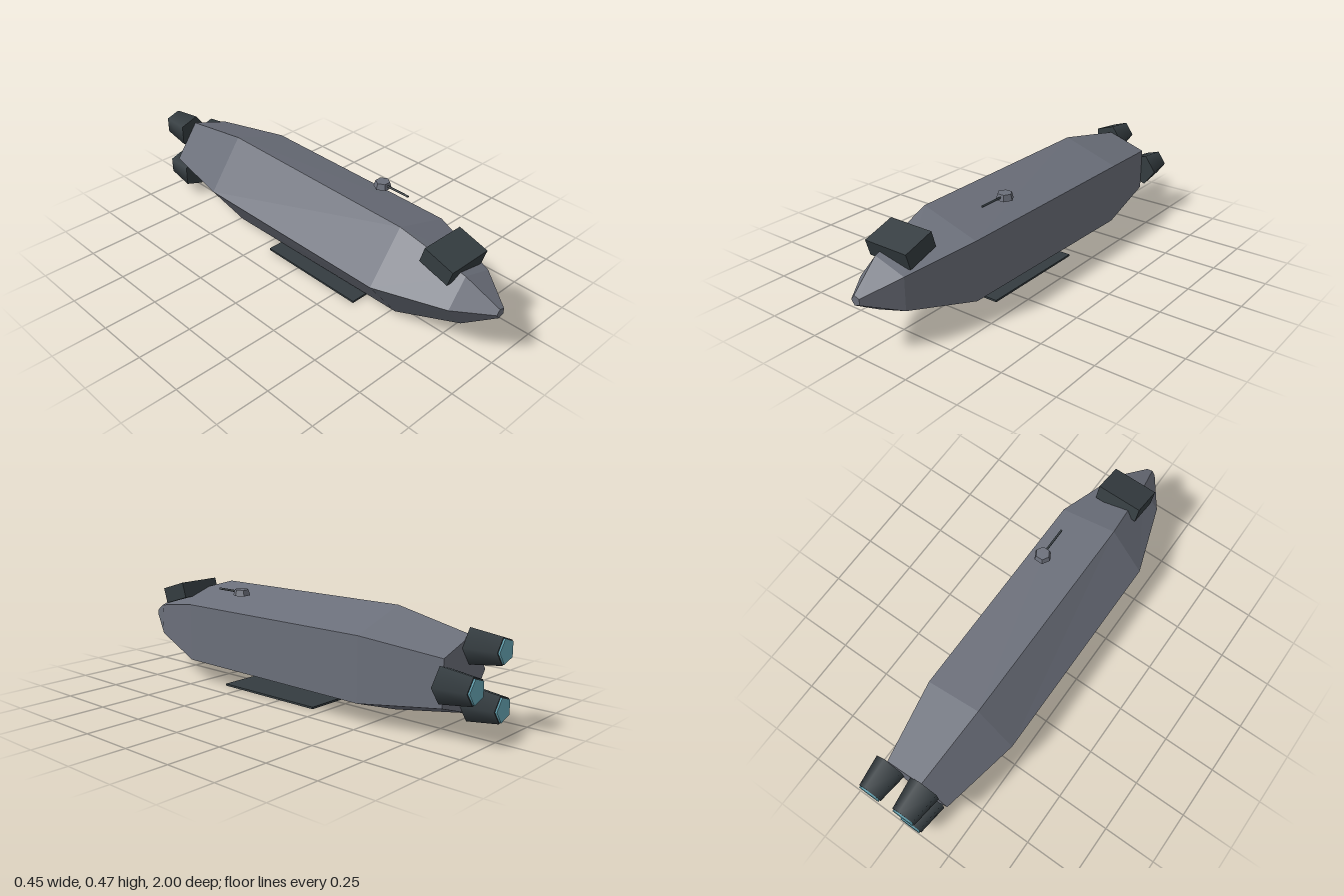
import * as THREE from 'three';

const CX = 0.013; // x of the hull axis

function material(name, color, flatShading = false) {
  const m = new THREE.MeshStandardMaterial({ color, flatShading });
  m.name = name;
  return m;
}

// Pentagonal loft through stations [z, centre y, radius, height factor], front to back
function loftHull(stations) {
  const sides = 5;
  const positions = [];
  const rings = stations.map(([z, cy, r, s]) =>
    Array.from({ length: sides }, (_, k) => {
      const a = Math.PI + (k * 2 * Math.PI) / sides;
      return [CX + r * Math.cos(a), cy + r * s * Math.sin(a), z];
    }));
  const tri = (a, b, c) => positions.push(...a, ...b, ...c);
  for (let i = 0; i < rings.length - 1; i++) {
    const f = rings[i], b = rings[i + 1];
    for (let k = 0; k < sides; k++) {
      const n = (k + 1) % sides;
      tri(f[k], b[k], b[n]);
      tri(f[k], b[n], f[n]);
    }
  }
  // End caps
  const first = rings[0], last = rings[rings.length - 1];
  for (let k = 1; k < sides - 1; k++) {
    tri(first[0], first[k], first[k + 1]);
    tri(last[0], last[k + 1], last[k]);
  }
  const g = new THREE.BufferGeometry();
  g.setAttribute('position', new THREE.Float32BufferAttribute(positions, 3));
  g.computeVertexNormals();
  return g;
}

export function createModel() {
  const model = new THREE.Group();
  model.name = 'spaceship';

  const hullGrey = material('hullGrey', 0x6b6f7a, true);
  const darkMetal = material('darkMetal', 0x343c40);
  const engineGlow = material('engineGlow', 0x68a8b8);

  function add(parent, name, geometry, mat, x = 0, y = 0, z = 0) {
    const mesh = new THREE.Mesh(geometry, mat);
    mesh.name = name;
    mesh.position.set(x, y, z);
    parent.add(mesh);
    return mesh;
  }

  // Faceted hull
  add(model, 'hull', loftHull([
    [1.0, 0.249, 0.024, 0.94],
    [0.85, 0.247, 0.133, 0.93],
    [0.535, 0.239, 0.24, 0.95],
    [-0.48, 0.237, 0.24, 1],
    [-0.85, 0.237, 0.168, 1],
  ]), hullGrey);

  // Tilted bridge block on the nose
  const bridge = add(model, 'bridge', new THREE.BoxGeometry(0.215, 0.075, 0.15), darkMetal, CX, 0.392, 0.753);
  bridge.rotation.x = 0.3;

  // Belly plate
  add(model, 'bellyPlate', new THREE.BoxGeometry(0.288, 0.009, 0.55), darkMetal, CX, 0.0045, 0.078);

  // Gun turret with a thin barrel
  const turret = new THREE.Group();
  turret.name = 'turret';
  turret.position.set(0.133, 0.456, 0.26);
  model.add(turret);
  add(turret, 'turretBase', new THREE.CylinderGeometry(0.032, 0.04, 0.027, 6, 1, false, Math.PI / 6), hullGrey);
  const barrel = new THREE.CylinderGeometry(0.005, 0.005, 0.15, 6).rotateX(Math.PI / 2);
  add(turret, 'turretBarrel', barrel, darkMetal, 0, 0, 0.071);

  // Three tapered engines around the hull axis, each with a glowing exhaust
  const nozzle = new THREE.CylinderGeometry(0.06, 0.079, 0.144, 5, 1, false, Math.PI / 2).rotateX(-Math.PI / 2);
  const exhaust = new THREE.CylinderGeometry(0.054, 0.054, 0.008, 5, 1, false, Math.PI / 2).rotateX(-Math.PI / 2);
  for (let i = 0; i < 3; i++) {
    const a = (i * 2 * Math.PI) / 3;
    const engine = new THREE.Group();
    engine.name = 'engine' + (i + 1);
    engine.position.set(CX + 0.135 * Math.cos(a), 0.237 + 0.135 * Math.sin(a), 0);
    add(engine, 'nozzle', nozzle, darkMetal, 0, 0, -0.92);
    add(engine, 'exhaust', exhaust, engineGlow, 0, 0, -0.996);
    model.add(engine);
  }

  return model;
}
